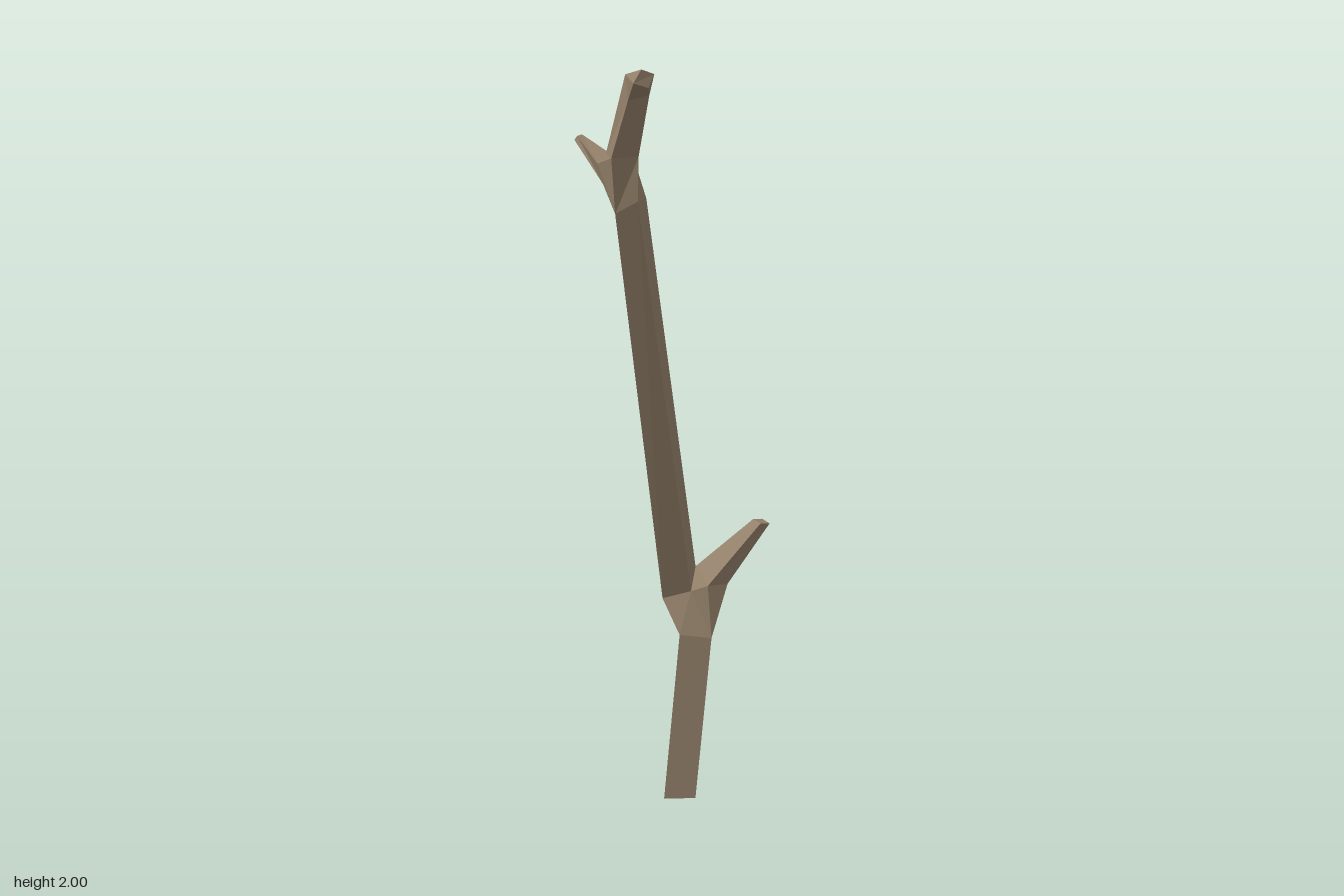
import * as THREE from 'three';

const bark = new THREE.MeshStandardMaterial({ color: 0x94816a, flatShading: true });

// Mesh from convex polygons, each fanned into triangles
function facets(name, polys) {
  const pos = [];
  for (const p of polys)
    for (let i = 1; i < p.length - 1; i++) pos.push(...p[0], ...p[i], ...p[i + 1]);
  const g = new THREE.BufferGeometry();
  g.setAttribute('position', new THREE.Float32BufferAttribute(pos, 3));
  g.computeVertexNormals();
  const m = new THREE.Mesh(g, bark);
  m.name = name;
  return m;
}

// Polygons skinning consecutive four-sided rings, with optional end caps
function loft(rings, capStart, capEnd) {
  const polys = [];
  for (let r = 0; r < rings.length - 1; r++) {
    const lo = rings[r], hi = rings[r + 1];
    lo.forEach((p, i) => {
      const j = (i + 1) % lo.length;
      polys.push([p, lo[j], hi[j], hi[i]]);
    });
  }
  if (capStart) polys.push([...rings[0]].reverse());
  if (capEnd) polys.push(rings[rings.length - 1]);
  return polys;
}

export function createModel() {
  const group = new THREE.Group();
  group.name = 'woodenStaff';

  // Rings run front-left, front-right, back-right, back-left
  const foot = [[0.005, 0.03, -0.07], [0.085, 0.03, -0.105], [0.055, 0, -0.19], [-0.02, 0.01, -0.155]];
  const neck = [[0.03, 0.5, -0.12], [0.11, 0.49, -0.155], [0.08, 0.47, -0.24], [0, 0.47, -0.205]];
  group.add(facets('lowerShaft', loft([foot, neck], true, false)));

  // Lower fork: shaft splits into the main shaft and a side branch
  const crotch = [0.02, 0.65, -0.27];
  const shaftBase = [[-0.03, 0.59, -0.145], [0.042, 0.61, -0.175], crotch, [-0.05, 0.59, -0.245]];
  const branchBase = [crotch, [0.08, 0.62, -0.205], [0.115, 0.61, -0.27], [0.05, 0.6, -0.325]];
  const [a, b, c, d] = neck;
  const [sa, sb, , sd] = shaftBase;
  const [, p2, p3, p4] = branchBase;
  group.add(facets('lowerFork', [
    [a, b, sb, sa], [b, p3, p2], [b, p2, sb], [b, c, p4, p3],
    [c, d, sd, p4], [d, a, sa, sd], [sd, crotch, p4], [sb, p2, crotch],
  ]));
  const branchTip = [[0.17, 0.79, -0.32], [0.2, 0.788, -0.295], [0.215, 0.78, -0.33], [0.185, 0.783, -0.355]];
  group.add(facets('lowerBranch', loft([branchBase, branchTip], false, true)));

  // Long leaning shaft
  const shaftTop = [[-0.045, 1.66, 0.135], [0.008, 1.69, 0.12], [-0.005, 1.69, 0.033], [-0.06, 1.66, 0.05]];
  group.add(facets('mainShaft', loft([shaftBase, shaftTop], false, false)));

  // Upper fork with a small twig to the back right
  const stemBase = [[-0.035, 1.795, 0.18], [0.01, 1.795, 0.12], [-0.03, 1.81, 0.07], [-0.075, 1.8, 0.12]];
  const twigBase = [[-0.085, 1.79, 0.04], [-0.115, 1.75, 0.015], [-0.1, 1.725, 0.08], [-0.11, 1.775, 0.09]];
  const [ta, tb, tc, td] = shaftTop;
  const [ua, ub, uc, ud] = stemBase;
  const [v, w, x, u] = twigBase;
  group.add(facets('upperFork', [
    [ta, tb, ub, ua], [tb, tc, uc, ub], [tc, w, v, uc], [tc, td, w], [td, x, w],
    [td, ta, x], [ta, ua, u, x], [uc, v, u], [uc, u, ud], [ud, u, ua],
  ]));
  const twigTip = [[-0.205, 1.838, -0.031], [-0.213, 1.83, -0.03], [-0.219, 1.825, -0.015], [-0.21, 1.835, -0.013]];
  group.add(facets('upperTwig', loft([twigBase, twigTip], false, true)));

  // Hooked end bending forward
  const bend = [[0.03, 1.93, 0.232], [0.065, 1.94, 0.188], [0.047, 1.985, 0.17], [0.015, 1.988, 0.212]];
  const hookTip = [[0.092, 1.97, 0.35], [0.12, 1.96, 0.33], [0.128, 1.99, 0.315], [0.105, 2, 0.335]];
  group.add(facets('hook', loft([stemBase, bend, hookTip], false, true)));

  return group;
}
